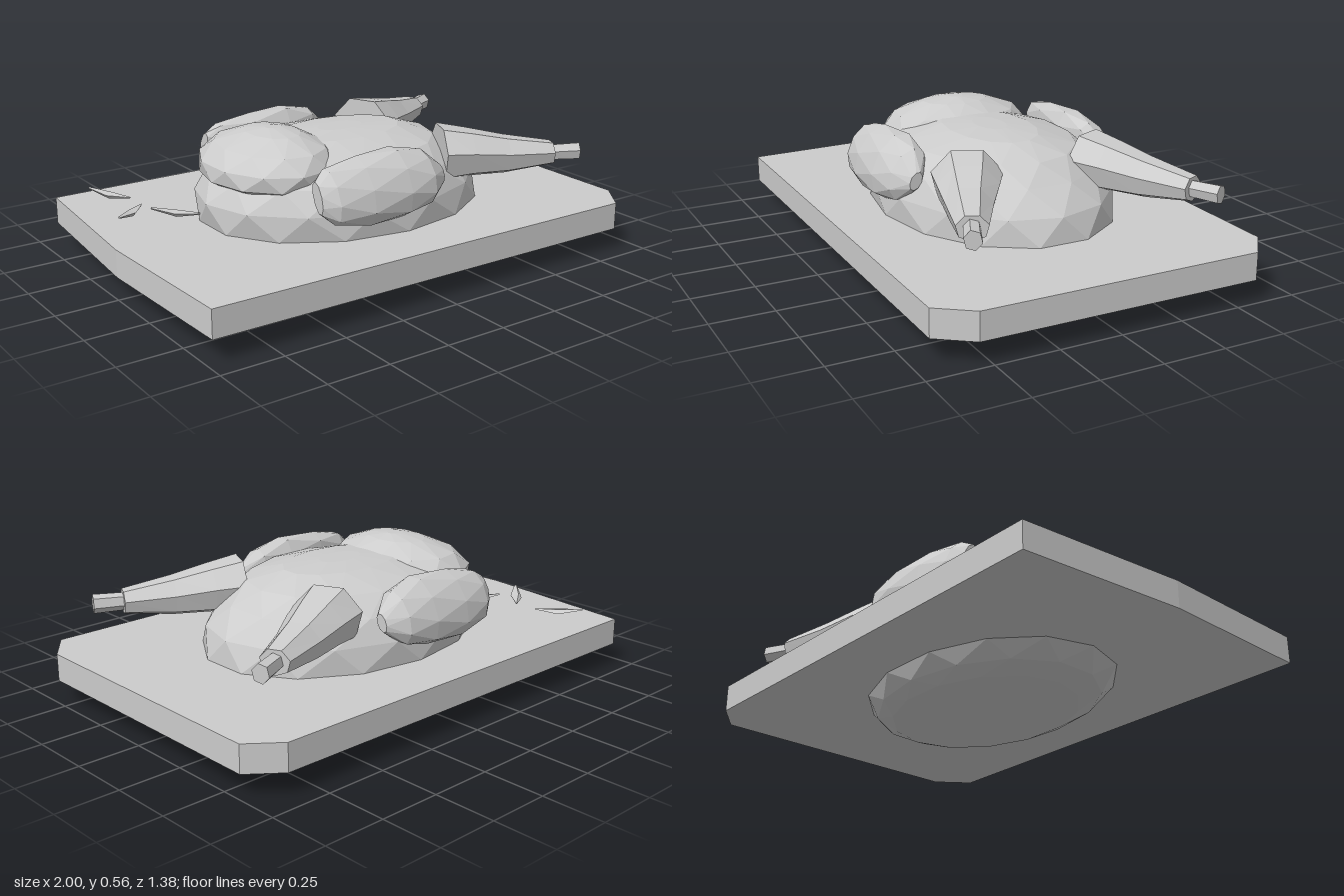
import * as THREE from 'three';

const grey = new THREE.MeshStandardMaterial({ color: 0xcccccc, flatShading: true });
grey.name = 'plain grey';

// Joins rings of equal length into a closed, faceted skin with flat end caps.
function loft(rings) {
  const n = rings[0].length;
  const positions = rings.flat().flatMap(p => [p.x, p.y, p.z]);
  const index = [];
  for (let i = 0; i < rings.length - 1; i++) {
    for (let j = 0; j < n; j++) {
      const k = (j + 1) % n;
      const a = i * n + j, b = i * n + k, c = a + n, d = b + n;
      index.push(a, c, b, b, c, d);
    }
  }
  const last = (rings.length - 1) * n;
  for (let j = 1; j < n - 1; j++) {
    index.push(0, j, j + 1);
    index.push(last, last + j + 1, last + j);
  }
  const geometry = new THREE.BufferGeometry();
  geometry.setAttribute('position', new THREE.Float32BufferAttribute(positions, 3));
  geometry.setIndex(index);
  const flat = geometry.toNonIndexed();
  flat.computeVertexNormals();
  return flat;
}

// Stacked oval rings; each level is [y, xMin, xMax, zMin, zMax], every ring turned half a step.
function mound(levels, sides) {
  return loft(levels.map(([y, x0, x1, z0, z1], i) =>
    Array.from({ length: sides }, (_, j) => {
      const a = (j + i / 2) / sides * Math.PI * 2;
      return new THREE.Vector3(
        (x0 + x1) / 2 + Math.cos(a) * (x1 - x0) / 2, y,
        (z0 + z1) / 2 + Math.sin(a) * (z1 - z0) / 2);
    })));
}

// Long shape along a level direction; each station is [x, y, z, halfWidth, halfHeight].
// lean shifts the upper half sideways, twist turns each ring by part of a step.
function limb(stations, sides, lean = 0, twist = 0) {
  const [p, q] = [stations[0], stations[stations.length - 1]];
  const d = new THREE.Vector3(q[0] - p[0], 0, q[2] - p[2]).normalize();
  return loft(stations.map(([x, y, z, w, h], i) =>
    Array.from({ length: sides }, (_, j) => {
      const a = (j + 0.25 + i * twist) / sides * Math.PI * 2;
      const side = Math.cos(a) * w, up = Math.sin(a) * h;
      return new THREE.Vector3(x - d.z * side, y + up, z + d.x * side + lean * up);
    })));
}

export function createModel() {
  const model = new THREE.Group();
  model.name = 'roastBirdOnBoard';
  const add = (name, geometry) => {
    const mesh = new THREE.Mesh(geometry, grey);
    mesh.name = name;
    model.add(mesh);
  };

  // Cutting board with two clipped corners
  const outline = [[-0.94, -0.69], [0.87, -0.68], [0.995, -0.58], [0.99, 0.55],
    [0.89, 0.685], [-0.98, 0.67], [-1, 0]];
  const shape = new THREE.Shape(outline.map(([x, z]) => new THREE.Vector2(x, -z)).reverse());
  const board = new THREE.ExtrudeGeometry(shape, { depth: 0.11, bevelEnabled: false });
  board.rotateX(-Math.PI / 2).translate(0, 0.09, 0);
  add('board', board);

  // Bird body, its flat underside showing below the board
  add('body', mound([
    [0, -0.41, 0.44, -0.33, 0.33],
    [0.03, -0.51, 0.51, -0.39, 0.39],
    [0.09, -0.59, 0.56, -0.43, 0.43],
    [0.2, -0.61, 0.615, -0.46, 0.46],
    [0.3, -0.62, 0.59, -0.46, 0.46],
    [0.39, -0.56, 0.5, -0.42, 0.42],
    [0.46, -0.45, 0.41, -0.33, 0.33],
    [0.505, -0.28, 0.27, -0.17, 0.17],
    [0.515, -0.1, 0.1, -0.06, 0.06],
  ], 14));

  // Raised lump at the neck end
  add('neckFold', mound([
    [0.33, -0.5, -0.18, -0.24, 0.23],
    [0.38, -0.59, -0.11, -0.31, 0.3],
    [0.44, -0.59, -0.09, -0.33, 0.31],
    [0.5, -0.53, -0.13, -0.27, 0.26],
    [0.545, -0.42, -0.22, -0.14, 0.14],
    [0.56, -0.35, -0.28, -0.03, 0.03],
  ], 11));

  // Folded wings and drumsticks on both sides
  for (const [label, s] of [['Left', 1], ['Right', -1]]) {
    const zWing = s > 0 ? 0.41 : -0.43;
    const lean = -0.3 * s;
    add(s > 0 ? 'frontWing' : 'backWing', limb([
      [-0.385, 0.39, zWing, 0.03, 0.06],
      [-0.33, 0.385, zWing, 0.07, 0.1],
      [-0.19, 0.385, zWing, 0.092, 0.125],
      [-0.02, 0.39, zWing, 0.092, 0.128],
      [0.11, 0.39, zWing, 0.075, 0.1],
      [0.19, 0.385, zWing, 0.025, 0.035],
    ], 9, lean, 0.5));

    const zLeg = s > 0 ? 0 : -0.015;
    add(s > 0 ? 'frontDrumstick' : 'backDrumstick', limb([
      [0.31, 0.41, s * 0.255 + zLeg, 0.14, 0.12],
      [0.42, 0.405, s * 0.305 + zLeg, 0.12, 0.1],
      [0.56, 0.39, s * 0.37 + zLeg, 0.09, 0.08],
      [0.74, 0.385, s * 0.45 + zLeg, 0.06, 0.05],
    ], 7));
    add(s > 0 ? 'frontLegBone' : 'backLegBone', limb([
      [0.7, 0.385, s * 0.432 + zLeg, 0.032, 0.034],
      [0.845, 0.385, s * 0.5 + zLeg, 0.034, 0.038],
    ], 6));
  }

  // Curled herb leaves scattered by the neck: [x, z] of both tips
  const leaves = [[-0.83, -0.6, -0.73, -0.43], [-0.89, -0.195, -0.73, -0.33],
    [-0.74, -0.225, -0.585, -0.09]];
  leaves.forEach(([x0, z0, x1, z1], i) => {
    const at = (t, y, w, h) => [x0 + (x1 - x0) * t, y, z0 + (z1 - z0) * t, w, h];
    add('leaf' + (i + 1), limb([
      at(0, 0.245, 0.006, 0.004), at(0.5, 0.228, 0.026, 0.012), at(1, 0.23, 0.003, 0.003),
    ], 4));
  });

  return model;
}
